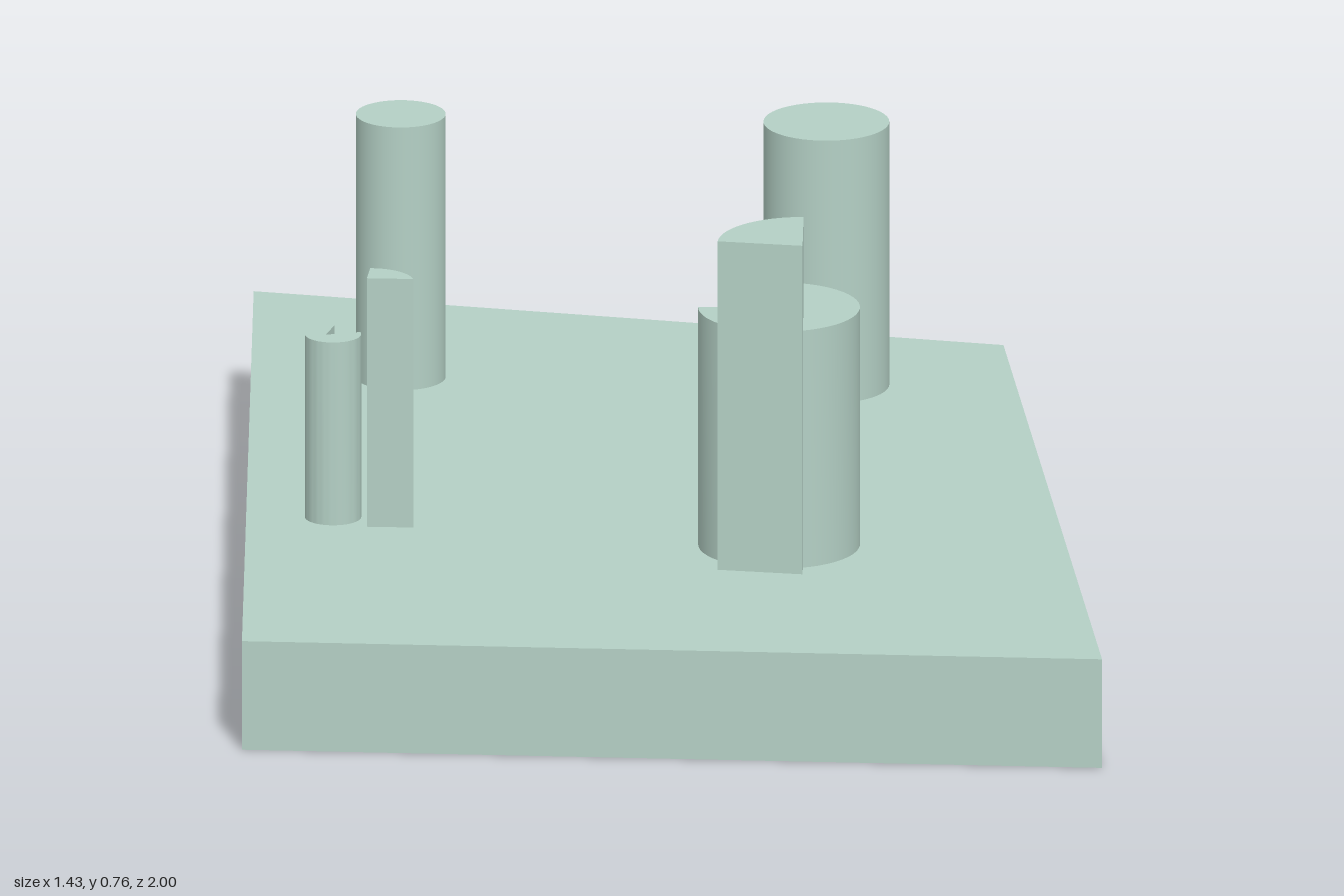
import * as THREE from 'three';
import { toCreasedNormals } from 'three/addons/utils/BufferGeometryUtils.js';

const material = new THREE.MeshStandardMaterial({ color: 0xb4d0c5 });
const BASE = 0.19;
const rad = THREE.MathUtils.degToRad;

// Upright prism from a plan outline given as [x, z] points
function prism(name, outline, bottom, top) {
  const shape = new THREE.Shape(outline.map(([x, z]) => new THREE.Vector2(x, -z)));
  const geo = new THREE.ExtrudeGeometry(shape, { depth: top - bottom, bevelEnabled: false });
  geo.rotateX(-Math.PI / 2);
  geo.translate(0, bottom, 0);
  const mesh = new THREE.Mesh(toCreasedNormals(geo, rad(30)), material);
  mesh.name = name;
  return mesh;
}

// Plan arc, angles in degrees, counter-clockwise seen from above
function arc(cx, cz, r, from, to, steps = 40) {
  return Array.from({ length: steps + 1 }, (_, i) => {
    const a = rad(from + ((to - from) * i) / steps);
    return [cx + r * Math.cos(a), cz - r * Math.sin(a)];
  });
}

function column(name, x, z, r, top) {
  const mesh = new THREE.Mesh(new THREE.CylinderGeometry(r, r, top - BASE, 48), material);
  mesh.position.set(x, (top + BASE) / 2, z);
  mesh.name = name;
  return mesh;
}

export function createModel() {
  const model = new THREE.Group();
  model.name = 'columnsOnSlab';

  // Four-sided slab with slanted edges
  model.add(prism('baseSlab', [[-0.72, 0.915], [0.715, 1], [0.533, -0.718], [-0.72, -1]], 0, BASE));

  // Full round columns at the back
  model.add(column('narrowColumn', -0.47, -0.535, 0.075, 0.65));
  model.add(column('wideColumn', 0.24, -0.5, 0.105, 0.65));

  // Large notched column and its taller separated wedge
  model.add(prism('largeNotchedColumn',
    [[0.166, 0.382], ...arc(0.17, 0.375, 0.135, 180, 462)], BASE, 0.605));
  model.add(prism('largeWedge',
    [[0.211, 0.54], ...arc(0.211, 0.524, 0.142, 90, 177, 20)], BASE, 0.765));

  // Small notched column and its taller separated wedge
  model.add(prism('smallNotchedColumn',
    [[-0.587, 0.237], ...arc(-0.575, 0.233, 0.047, 88, 374 - 360 + 360)], BASE, 0.51));
  model.add(prism('smallWedge',
    [[-0.518, 0.287], ...arc(-0.513, 0.306, 0.074, 12, 90, 20)], BASE, 0.625));

  return model;
}
